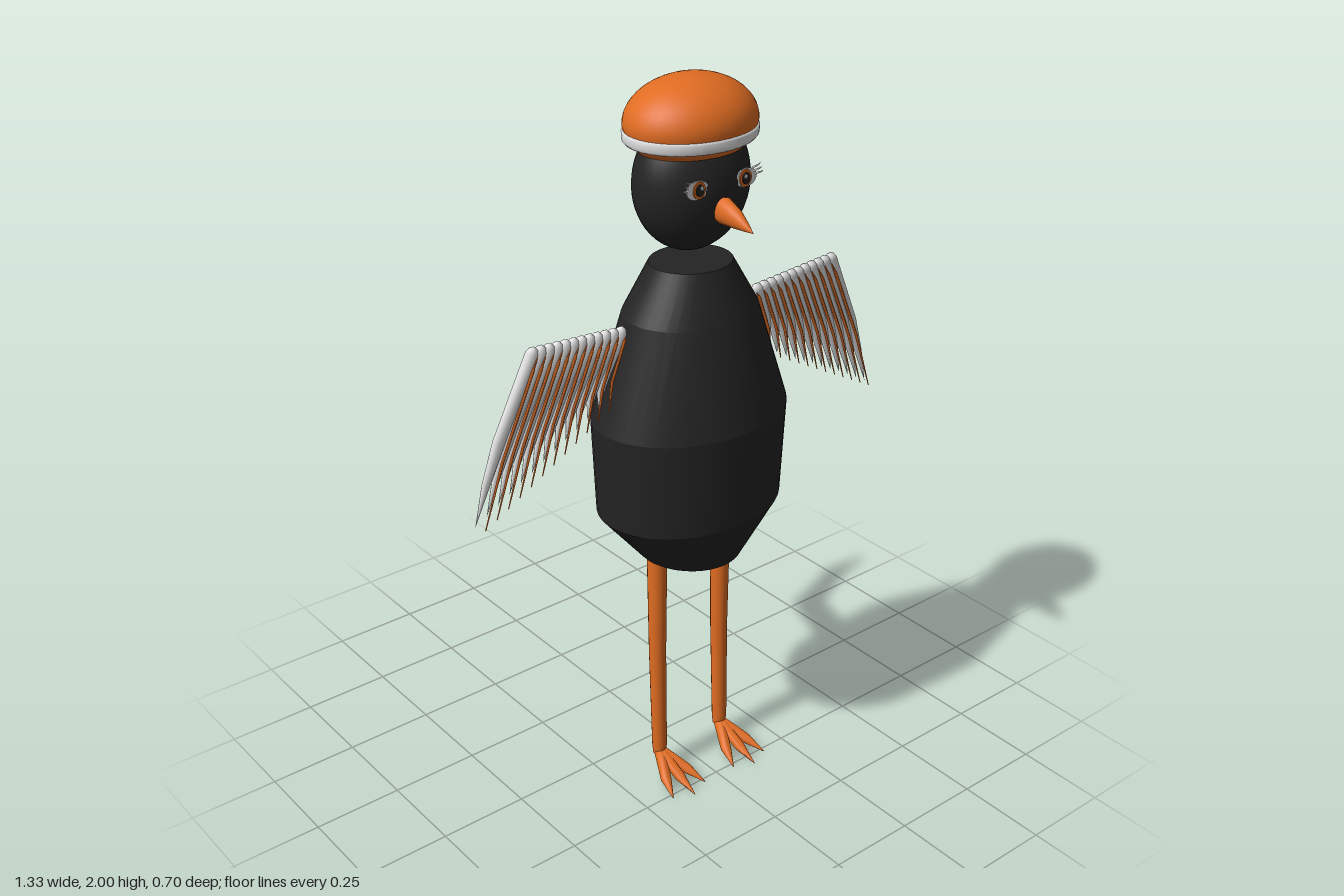
import * as THREE from 'three';
import { toCreasedNormals } from 'three/addons/utils/BufferGeometryUtils.js';

const X = new THREE.Vector3(1, 0, 0), Z = new THREE.Vector3(0, 0, 1);
const CZ = 0.118; // depth of the body axis

// Tapered sweep through points; each row is [x, y, z, width radius, thickness radius]
function sweep(rows, ref, sides = 12, crease = 0) {
  const pts = rows.map(r => new THREE.Vector3(r[0], r[1], r[2]));
  const pos = [], idx = [];
  pts.forEach((p, i) => {
    const t = pts[Math.min(i + 1, pts.length - 1)].clone().sub(pts[Math.max(i - 1, 0)]).normalize();
    const u = ref.clone().cross(t).normalize(), v = t.clone().cross(u);
    const w = rows[i][3], h = rows[i][4] ?? w;
    for (let j = 0; j < sides; j++) {
      const a = j / sides * Math.PI * 2;
      const q = p.clone().addScaledVector(u, Math.cos(a) * w).addScaledVector(v, Math.sin(a) * h);
      pos.push(q.x, q.y, q.z);
      if (i < pts.length - 1) {
        const k = (j + 1) % sides, A = i * sides, B = A + sides;
        idx.push(A + j, A + k, B + k, A + j, B + k, B + j);
      }
    }
  });
  const g = new THREE.BufferGeometry();
  g.setAttribute('position', new THREE.Float32BufferAttribute(pos, 3));
  g.setIndex(idx);
  g.computeVertexNormals();
  return crease ? toCreasedNormals(g, crease) : g;
}

export function createModel() {
  const root = new THREE.Group();
  root.name = 'bird';
  const mat = (name, color) => {
    const m = new THREE.MeshStandardMaterial({ color });
    m.name = name;
    return m;
  };
  const black = mat('black plumage', 0x242424);
  const orange = mat('orange', 0xe06c22);
  const white = mat('soft white', 0xe2e2e2);
  const add = (parent, name, geo, material, x = 0, y = 0, z = 0) => {
    const m = new THREE.Mesh(geo, material);
    m.name = name;
    m.position.set(x, y, z);
    parent.add(m);
    return m;
  };
  const lathe = (profile, depth, crease) => {
    const g = new THREE.LatheGeometry(profile.map(p => new THREE.Vector2(...p)), 40).scale(1, 1, depth);
    return crease ? toCreasedNormals(g, crease) : g;
  };

  // Faceted-profile body with an oval section, closed at both ends
  add(root, 'body', sweep([
    [0, 0.699, CZ, 0], [0, 0.7, CZ, 0.148, 0.14], [0, 0.85, CZ, 0.208, 0.267],
    [0, 1.12, CZ, 0.217, 0.28], [0, 1.4, CZ, 0.154, 0.188], [0, 1.528, CZ, 0.1, 0.112],
    [0, 1.529, CZ, 0],
  ], X, 40, 0.2), black);

  // Head
  add(root, 'head', new THREE.SphereGeometry(1, 40, 28).scale(0.162, 0.178, 0.122), black, 0, 1.737, CZ);

  // Cap: low dome, turned-in rim and white band
  const dome = [[0, 1.822], [0.142, 1.822], [0.166, 1.845], [0.175, 1.865]];
  for (let i = 0; i <= 12; i++) {
    const a = i / 12 * Math.PI / 2;
    dome.push([0.179 * Math.cos(a), 1.885 + 0.115 * Math.sin(a)]);
  }
  add(root, 'cap', lathe(dome, 0.82, 0.5), orange, 0, 0, 0.114);
  add(root, 'capBand', lathe([
    [0.16, 1.843], [0.174, 1.843], [0.18, 1.85], [0.181, 1.868], [0.177, 1.874], [0.165, 1.874],
  ], 0.82), white, 0, 0, 0.114);

  // Drooping beak
  add(root, 'beak', sweep([
    [0, 1.69, 0.215, 0.03, 0.02], [0, 1.69, 0.245, 0.035, 0.026],
    [0, 1.682, 0.285, 0.026, 0.02], [0, 1.67, 0.325, 0.011, 0.009], [0, 1.662, 0.35, 0],
  ], X, 16), orange);

  // Toes, as [sideways spread of the tip, forward reach]
  const toes = [[-0.058, 0.265], [0, 0.29], [0.058, 0.265]];
  const FEATHERS = 12;

  for (const s of [1, -1]) {
    const side = s > 0 ? 'left' : 'right';

    // Eye built from stacked thin discs, with lashes at the outer corner
    const eye = new THREE.Group();
    eye.name = side + 'Eye';
    eye.position.set(s * 0.077, 1.755, 0.232);
    root.add(eye);
    const disc = (name, rx, ry, m, x, y, z) =>
      add(eye, name, new THREE.CylinderGeometry(1, 1, 0.003, 24).rotateX(Math.PI / 2).scale(rx, ry, 1), m, x, y, z);
    disc('eyeWhite', 0.033, 0.024, white, 0, 0, 0);
    disc('iris', 0.019, 0.022, orange, -s * 0.004, 0, 0.003);
    disc('pupil', 0.012, 0.015, black, -s * 0.004, 0, 0.006);
    disc('glint', 0.004, 0.005, white, -s * 0.008, 0.006, 0.008);
    for (let i = 0; i < 3; i++) {
      add(eye, 'lash', sweep([
        [s * (0.018 + i * 0.005), 0.02 - i * 0.008, 0, 0.003],
        [s * (0.036 + i * 0.005), 0.026 - i * 0.01, 0.004, 0.002],
        [s * (0.042 + i * 0.004), 0.033 - i * 0.011, 0.008, 0],
      ], Z, 6), white);
    }

    // Wing: row of feathers growing longer outward, each with a thin orange quill in front
    const wing = new THREE.Group();
    wing.name = side + 'Wing';
    root.add(wing);
    for (let i = 0; i < FEATHERS; i++) {
      const f = i / (FEATHERS - 1);
      const x0 = 0.225 + 0.265 * f, y0 = 1.388 + 0.02 * f;
      const x2 = 0.285 + 0.38 * f, y2 = 1.19 - 0.205 * f;
      const at = k => [s * (x0 + (x2 - x0) * k + 0.012 * Math.sin(k * Math.PI)), y0 + (y2 - y0) * k];
      add(wing, 'feather', sweep([
        [s * (x0 - 0.005), y0 + 0.018, 0.12, 0],
        [s * (x0 - 0.003), y0 + 0.012, 0.12, 0.012, 0.01],
        [...at(0), 0.119, 0.018, 0.015],
        [...at(0.5), 0.109, 0.017, 0.013],
        [...at(0.75), 0.105, 0.011, 0.009],
        [...at(1), 0.103, 0],
      ], Z, 10), white);
      const q = (k, z, r) => {
        const [x, y] = at(k);
        return [x - s * 0.012, y, z, r, 0.002];
      };
      add(wing, 'quill', sweep([
        q(0.02, 0.13, 0.001), q(0.1, 0.132, 0.005), q(0.6, 0.13, 0.005), q(1, 0.131, 0.0005),
      ], Z, 6), orange);
    }

    // Slightly bent leg
    add(root, side + 'Leg', sweep([
      [s * 0.111, 0.06, 0.13, 0.018], [s * 0.111, 0.085, 0.131, 0.021],
      [s * 0.111, 0.4, 0.122, 0.024], [s * 0.111, 0.74, 0.12, 0.028],
    ], X, 16), orange);

    // Foot with three splayed toes
    const foot = new THREE.Group();
    foot.name = side + 'Foot';
    foot.position.x = s * 0.111;
    root.add(foot);
    for (const [dx, reach] of toes) {
      add(foot, 'toe', sweep([
        [0, 0.072, 0.115, 0.004], [0, 0.066, 0.13, 0.016],
        [dx * 0.66, 0.026, 0.13 + (reach - 0.13) * 0.58, 0.015],
        [dx, 0.004, reach, 0.001],
      ], X, 10, 0.7), orange);
    }
  }

  // Kinked tail sweeping to the model's left and then up
  add(root, 'tail', sweep([
    [-0.015, 0.93, -0.045, 0], [-0.012, 0.925, -0.055, 0.034], [0, 0.915, -0.085, 0.048],
    [0.088, 0.868, -0.24, 0.044], [0.18, 1.0, -0.322, 0.032], [0.19, 1.185, -0.335, 0],
  ], X, 20, 0.7), white);

  return root;
}
